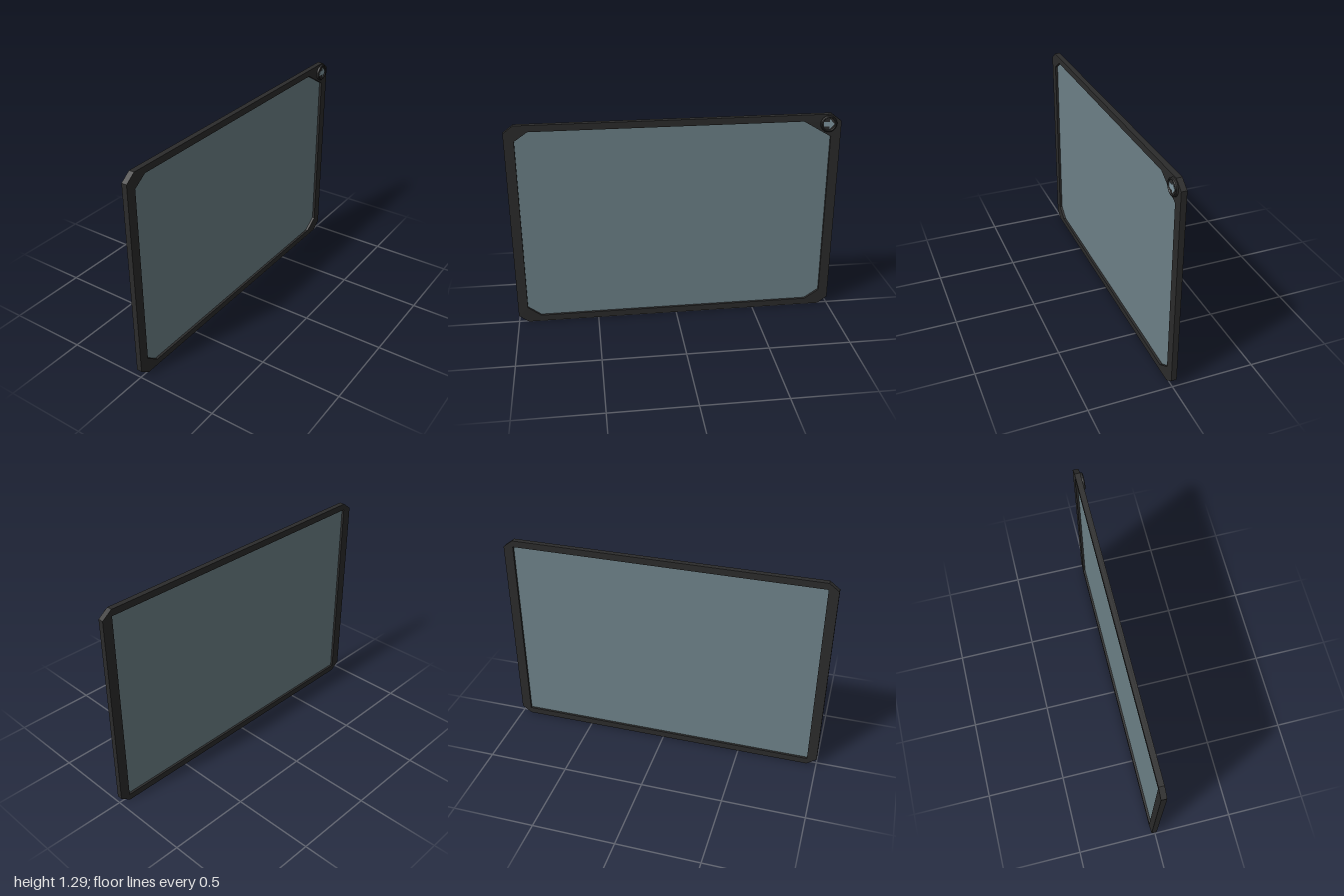
import * as THREE from 'three';
import { toCreasedNormals } from 'three/addons/utils/BufferGeometryUtils.js';

const dark = new THREE.MeshStandardMaterial({ color: 0x2b2b2b });
const glass = new THREE.MeshStandardMaterial({ color: 0x6d8188 });
const pale = new THREE.MeshStandardMaterial({ color: 0x8299a2 });

const points = (list) => list.map(([u, v]) => new THREE.Vector2(u, v));

// Slab drawn in the panel plane (u across, v up), spanning depths from..to
function slab(name, outline, hole, from, to, material) {
  const shape = new THREE.Shape(points(outline));
  if (hole) shape.holes.push(new THREE.Path(points(hole)));
  const geometry = new THREE.ExtrudeGeometry(shape, { depth: to - from, bevelEnabled: false });
  geometry.translate(0, 0, from);
  const mesh = new THREE.Mesh(geometry, material);
  mesh.name = name;
  return mesh;
}

export function createModel() {
  const model = new THREE.Group();
  model.name = 'framedPanel';
  const panel = new THREE.Group();
  panel.name = 'panel';
  panel.rotation.y = Math.PI / 2; // the broad face looks towards +x
  model.add(panel);

  const H = 1.29;
  const outer = [
    [-0.94, 0], [0.94, 0], [1, 0.045], [1, H - 0.045],
    [0.94, H], [-0.94, H], [-1, H - 0.045], [-1, 0.045],
  ];
  const pocket = [[-0.94, 0.04], [0.94, 0.04], [0.94, 1.25], [-0.94, 1.25]];
  // Face opening, with a bigger corner cut beside the button
  const opening = [
    [-0.86, 0.04], [0.85, 0.04], [0.94, 0.1], [0.94, 1.15],
    [0.77, 1.25], [-0.86, 1.25], [-0.94, 1.195], [-0.94, 0.1],
  ];

  panel.add(slab('rearRim', outer, pocket, -0.024, -0.006, dark));
  panel.add(slab('faceFrame', outer, opening, -0.006, 0.009, dark));
  panel.add(slab('screen', pocket, null, -0.01, -0.006, glass));

  // Round corner button with a raised rim and an inset arrow
  const button = new THREE.Group();
  button.name = 'cornerButton';
  button.position.set(0.92, 1.232, 0.009);
  const profile = points([
    [0.05, 0], [0.05, 0.011], [0.046, 0.015], [0.041, 0.015], [0.038, 0.01], [0, 0.01],
  ]);
  const body = toCreasedNormals(new THREE.LatheGeometry(profile, 32), 0.5);
  body.rotateX(Math.PI / 2);
  const disc = new THREE.Mesh(body, dark);
  disc.name = 'buttonBody';
  const arrow = [
    [-0.032, -0.014], [0.004, -0.014], [0.004, -0.031], [0.034, 0],
    [0.004, 0.031], [0.004, 0.014], [-0.032, 0.014],
  ];
  button.add(disc, slab('buttonArrow', arrow, null, 0.009, 0.012, pale));
  panel.add(button);

  return model;
}
